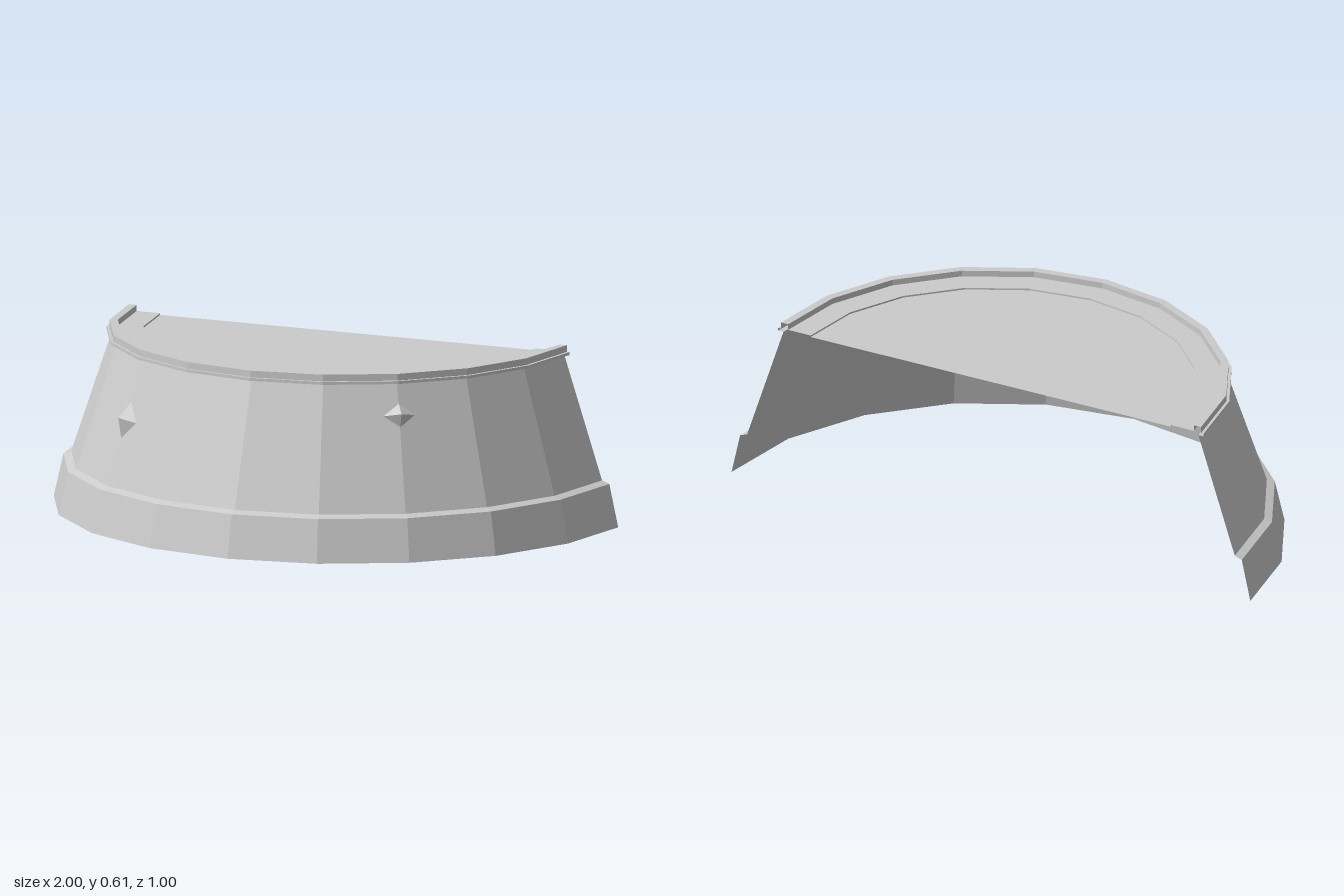
import * as THREE from 'three';

const material = new THREE.MeshStandardMaterial({
  color: 0xcccccc, flatShading: true, side: THREE.DoubleSide,
});

// Half-round sheet with ten facets, swept from a [radius, height] profile
function halfRound(name, profile) {
  const points = profile.map(([r, y]) => new THREE.Vector2(r, y));
  const mesh = new THREE.Mesh(new THREE.LatheGeometry(points, 10, -Math.PI / 2, Math.PI), material);
  mesh.name = name;
  mesh.position.z = -0.5;
  return mesh;
}

// Eight-sided stud sunk into the wall, leaning back with its slope
function stud(name, angle, y, radius, size) {
  const mesh = new THREE.Mesh(new THREE.OctahedronGeometry(1), material);
  mesh.name = name;
  mesh.scale.set(...size);
  mesh.rotation.order = 'YXZ';
  mesh.rotation.set(-0.32, angle, 0);
  mesh.position.set(radius * Math.sin(angle), y, radius * Math.cos(angle) - 0.5);
  return mesh;
}

export function createModel() {
  const model = new THREE.Group();
  model.name = 'halfRoundPlatform';

  // Flared base band with a narrow sloping ledge
  model.add(halfRound('baseBand', [[1, 0], [0.967, 0.147], [0.94, 0.157]]));

  // Tapering wall
  model.add(halfRound('wall', [[0.94, 0.157], [0.8, 0.58]]));

  // Stepped rim around the top
  model.add(halfRound('rim', [
    [0.8, 0.58], [0.82, 0.58], [0.82, 0.59], [0.81, 0.59],
    [0.81, 0.613], [0.782, 0.613], [0.782, 0.592],
  ]));

  // Border ring and slightly sunken floor
  model.add(halfRound('deck', [[0.782, 0.592], [0.695, 0.592], [0.695, 0.586], [0, 0.586]]));

  // Studs on the two front flanks
  model.add(stud('rightStud', -0.625, 0.375, 0.86, [0.052, 0.077, 0.04]));
  model.add(stud('leftStud', 0.63, 0.472, 0.826, [0.056, 0.052, 0.04]));

  return model;
}
